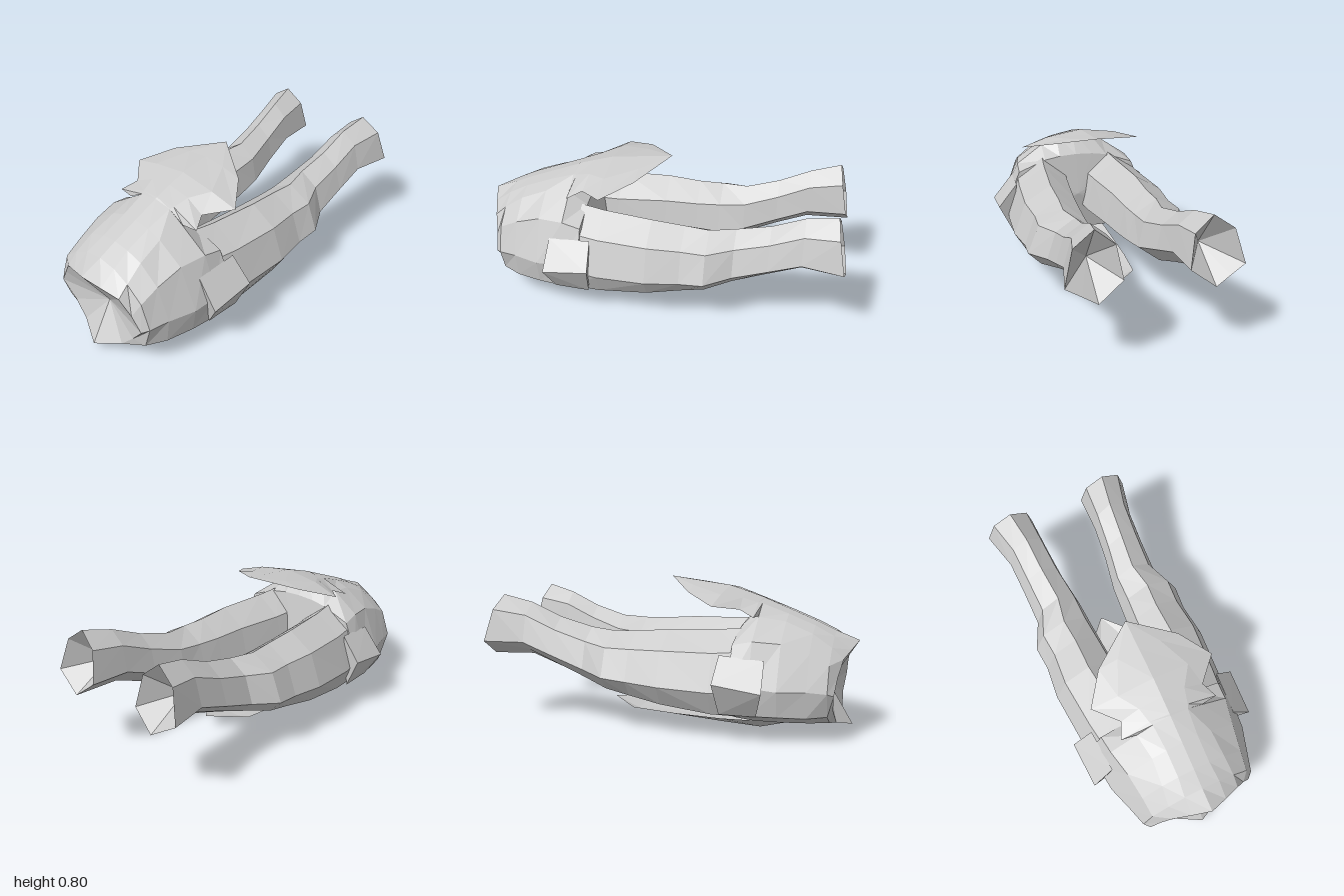
import * as THREE from 'three';
import { ConvexGeometry } from 'three/addons/geometries/ConvexGeometry.js';

const material = new THREE.MeshStandardMaterial({ color: 0xcccccc, flatShading: true, side: THREE.DoubleSide });

// Skin a surface over rows of equally many points; wrap closes each row into a ring.
function skin(rows, wrap = false) {
  const n = rows[0].length, index = [];
  for (let r = 0; r + 1 < rows.length; r++) {
    for (let i = 0; i < (wrap ? n : n - 1); i++) {
      const a = r * n + i, b = r * n + (i + 1) % n;
      index.push(a, b, a + n, b, b + n, a + n);
    }
  }
  const g = new THREE.BufferGeometry();
  g.setAttribute('position', new THREE.Float32BufferAttribute(rows.flat(2), 3));
  g.setIndex(index);
  const flat = g.toNonIndexed();
  flat.computeVertexNormals();
  return flat;
}

// Complete a half row, given from the centre line to the model's left.
const mirrored = half => [...half.slice(1).reverse().map(([x, y, z]) => [-x, y, z]), ...half];
const atZ = (z, pts) => pts.map(([x, y]) => [x, y, z]);
const fan = (row, centre) => [row, row.map(() => centre)];

export function createModel() {
  const group = new THREE.Group();
  const add = (name, geometry) => {
    const mesh = new THREE.Mesh(geometry, material);
    mesh.name = name;
    group.add(mesh);
  };

  // Hips: half rings from top centre round to bottom centre
  const hips = [
    [[0, 0.5, 1], [0.1, 0.465, 0.97], [0.19, 0.43, 0.94], [0.25, 0.345, 0.92], [0.3, 0.26, 0.91], [0.22, 0.165, 0.9], [0.14, 0.085, 0.91], [0, 0.045, 0.98]],
    atZ(0.88, [[0, 0.545], [0.1, 0.53], [0.19, 0.485], [0.28, 0.41], [0.33, 0.275], [0.29, 0.15], [0.18, 0.09], [0, 0.06]]),
    atZ(0.78, [[0, 0.59], [0.09, 0.58], [0.18, 0.55], [0.29, 0.46], [0.36, 0.285], [0.34, 0.145], [0.22, 0.09], [0, 0.065]]),
    atZ(0.64, [[0, 0.645], [0.09, 0.635], [0.17, 0.605], [0.31, 0.51], [0.405, 0.285], [0.38, 0.15], [0.25, 0.09], [0, 0.08]]),
    atZ(0.5, [[0, 0.7], [0.1, 0.685], [0.19, 0.625], [0.34, 0.52], [0.42, 0.3], [0.4, 0.15], [0.26, 0.09], [0, 0.085]]),
    atZ(0.4, [[0, 0.58], [0.1, 0.575], [0.19, 0.56], [0.35, 0.5], [0.43, 0.31], [0.4, 0.15], [0.26, 0.1], [0, 0.1]]),
  ].map(mirrored);
  add('hips', skin(hips));
  add('waistHollow', skin(fan(hips[0], [0, 0.26, 0.85])));
  add('crotch', skin(fan(hips[5], [0, 0.34, 0.36])));

  // Legs: an outline scaled to [z, inner x, outer x, top, bottom], losing its lower corner towards the hem
  const mix = THREE.MathUtils.lerp;
  const outline = t => [
    [0.45, 1], [0.83, 0.78], [1, mix(0.37, 0.27, t)], [mix(0.88, 0.72, t), mix(0.08, 0.135, t)],
    [0.45, 0], [0, mix(0.35, 0.28, t)], [0.1, 0.77],
  ];
  const stations = [
    [0.45, 0.02, 0.42, 0.57, 0.1], [0.3, 0.04, 0.44, 0.555, 0.1], [0.03, 0.075, 0.46, 0.545, 0.135],
    [-0.15, 0.09, 0.44, 0.53, 0.165], [-0.28, 0.1, 0.45, 0.525, 0.195], [-0.42, 0.11, 0.38, 0.535, 0.23],
    [-0.6, 0.14, 0.38, 0.585, 0.305], [-0.77, 0.155, 0.385, 0.66, 0.37], [-0.93, 0.16, 0.435, 0.7, 0.365],
  ];
  const last = stations.length - 1;
  for (const [side, s] of [['left', 1], ['right', -1]]) {
    const rows = stations.map(([z, xi, xo, top, bottom], k) => outline(k / last).map(([u, v]) => [
      s * (xi + (xo - xi) * u),
      bottom + (top - bottom) * v,
      k === last ? z - 0.07 * (1 - v) : z, // slanted hem
    ]));
    add(side + 'Leg', skin(rows, true));
    add(side + 'LegHollow', skin(fan(rows[last], [s * 0.28, 0.5, -0.78]), true));

    // Side pocket, flaring from the hip
    add(side + 'Pocket', new ConvexGeometry([
      [0.38, 0.45, 0.34], [0.49, 0.32, 0.33], [0.41, 0.15, 0.35],
      [0.365, 0.43, 0.57], [0.48, 0.285, 0.58], [0.4, 0.15, 0.54],
    ].map(([x, y, z]) => new THREE.Vector3(s * x, y, z))));
  }

  // Raised flap, leaving the hips at the top
  add('upperFlap', skin([
    [[0, 0.7, 0.5], [0.1, 0.685, 0.5], [0.19, 0.63, 0.5]],
    [[0, 0.706, 0.49], [0.11, 0.69, 0.48], [0.275, 0.632, 0.49]],
    [[0, 0.735, 0.4], [0.13, 0.715, 0.4], [0.235, 0.665, 0.41]],
    [[0, 0.765, 0.3], [0.2, 0.735, 0.3], [0.35, 0.69, 0.29]],
    [[0, 0.785, 0.13], [0.12, 0.77, 0.13], [0.23, 0.745, 0.13]],
    [[0, 0.805, -0.03], [0, 0.805, -0.03], [0, 0.805, -0.03]],
  ].map(mirrored)));

  // Hanging flap underneath, broad up to its pointed end
  add('lowerFlap', skin([
    atZ(0.76, [[0, 0.07], [0.08, 0.075], [0.19, 0.1]]),
    atZ(0.5, [[0, 0.003], [0.09, 0.01], [0.19, 0.07]]),
    atZ(0.3, [[0, 0.015], [0.09, 0.02], [0.19, 0.065]]),
    atZ(0, [[0, 0.035], [0.09, 0.04], [0.18, 0.07]]),
    atZ(-0.21, [[0, 0.055], [0.08, 0.055], [0.16, 0.075]]),
    atZ(-0.38, [[0, 0.092], [0, 0.092], [0, 0.092]]),
  ].map(mirrored)));

  return group;
}
